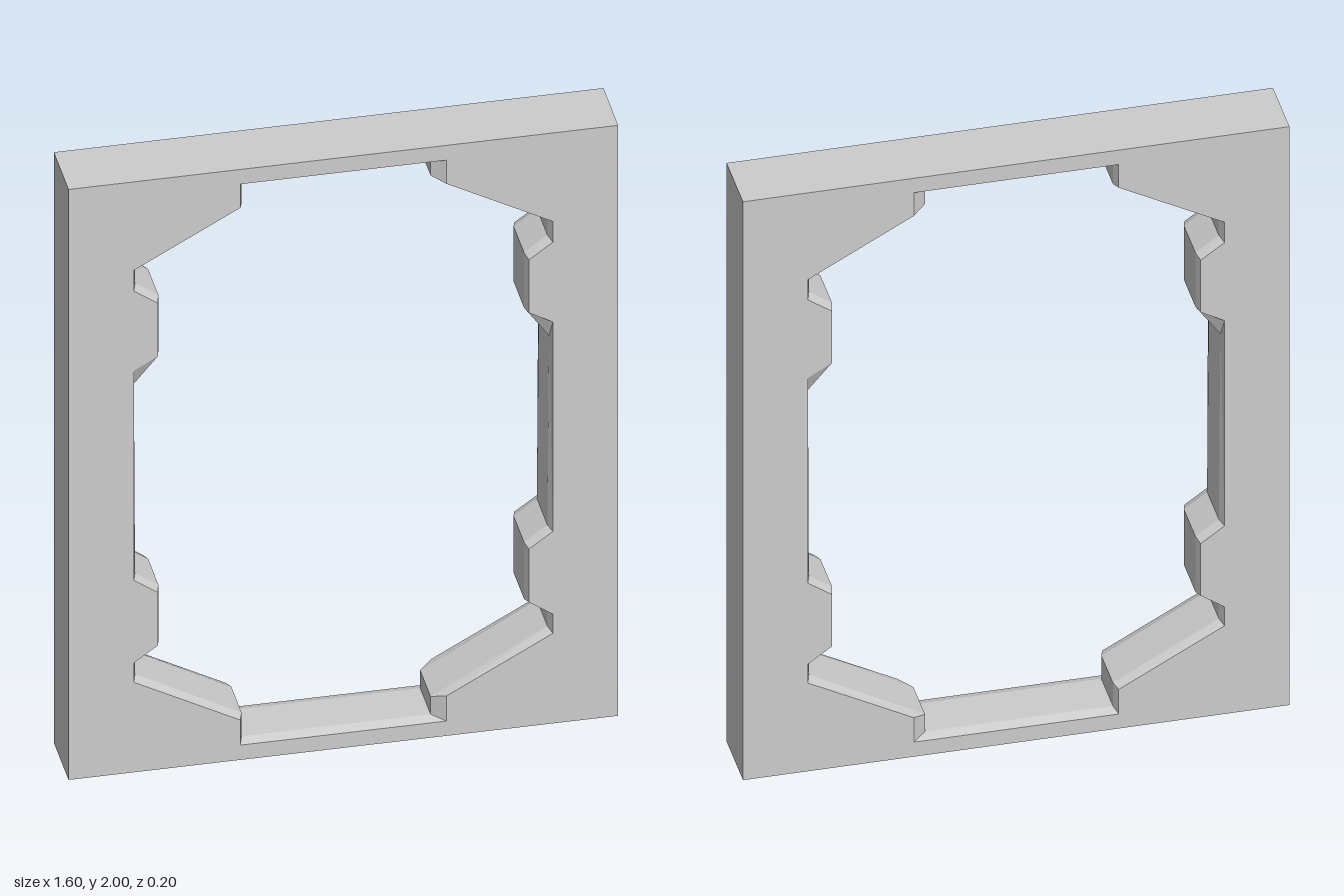
import * as THREE from 'three';

const material = new THREE.MeshStandardMaterial({ color: 0xcccccc, flatShading: true });
const HALF = 0.1;      // half thickness
const CHAMFER = 0.03;  // depth of the chamfer on the opening's edges

// Right half of the opening at the faces, from top to bottom
const rimSide = [
  [0.30, 1.95], [0.30, 1.87], [0.61, 1.70], [0.61, 1.63], [0.54, 1.58], [0.54, 1.40], [0.61, 1.36],
  [0.61, 0.65], [0.54, 0.60], [0.54, 0.42], [0.61, 0.37], [0.61, 0.305], [0.30, 0.135], [0.30, 0.05],
];

// Half of the narrower opening inside; the notch width and step height differ per side
const throatSide = (notch, step) => [
  [notch, 1.94], [notch, 1.86 + step], [0.60, 1.693], [0.60, 1.637], [0.532, 1.587], [0.532, 1.40], [0.605, 1.295],
  [0.60, 0.655], [0.532, 0.606], [0.532, 0.414], [0.60, 0.364], [0.60, 0.312], [notch, 0.145 - step], [notch, 0.06],
];

// Closes a right half and a left half (given mirrored) into one clockwise loop
const closeLoop = (right, left) => [...right, ...left.map(([x, y]) => [-x, y]).reverse()];

// Flat-sided walls through a series of { loop, z } rings, front to back
function loft(rings) {
  const positions = [];
  for (let r = 0; r < rings.length - 1; r++) {
    const front = rings[r], back = rings[r + 1], n = front.loop.length;
    for (let i = 0; i < n; i++) {
      const j = (i + 1) % n;
      const a = [...front.loop[i], front.z], b = [...front.loop[j], front.z];
      const c = [...back.loop[j], back.z], d = [...back.loop[i], back.z];
      positions.push(...a, ...d, ...b, ...b, ...d, ...c);
    }
  }
  const geometry = new THREE.BufferGeometry();
  geometry.setAttribute('position', new THREE.Float32BufferAttribute(positions, 3));
  geometry.computeVertexNormals();
  return geometry;
}

export function createModel() {
  const group = new THREE.Group();
  group.name = 'panelFrame';
  const add = (name, geometry) => {
    const mesh = new THREE.Mesh(geometry, material);
    mesh.name = name;
    group.add(mesh);
    return mesh;
  };

  const outline = [[-0.8, 0], [0.8, 0], [0.8, 2], [-0.8, 2]];
  const rim = closeLoop(rimSide, rimSide);
  const throat = closeLoop(throatSide(0.26, 0.025), throatSide(0.29, 0.005));
  const toVectors = (loop) => loop.map(([x, y]) => new THREE.Vector2(x, y));

  // Front and back faces with the opening cut out
  const shape = new THREE.Shape(toVectors(outline));
  shape.holes.push(new THREE.Path(toVectors(rim)));
  const face = new THREE.ShapeGeometry(shape);
  add('frontFace', face).position.z = HALF;
  const back = add('backFace', face);
  back.position.z = -HALF;
  back.rotation.y = Math.PI;

  // Outer edges
  add('outerEdge', loft([{ loop: outline, z: HALF }, { loop: outline, z: -HALF }]));

  // Opening: chamfer, straight wall, chamfer
  add('openingWall', loft([
    { loop: rim, z: HALF },
    { loop: throat, z: HALF - CHAMFER },
    { loop: throat, z: -HALF + CHAMFER },
    { loop: rim, z: -HALF },
  ]));

  return group;
}
